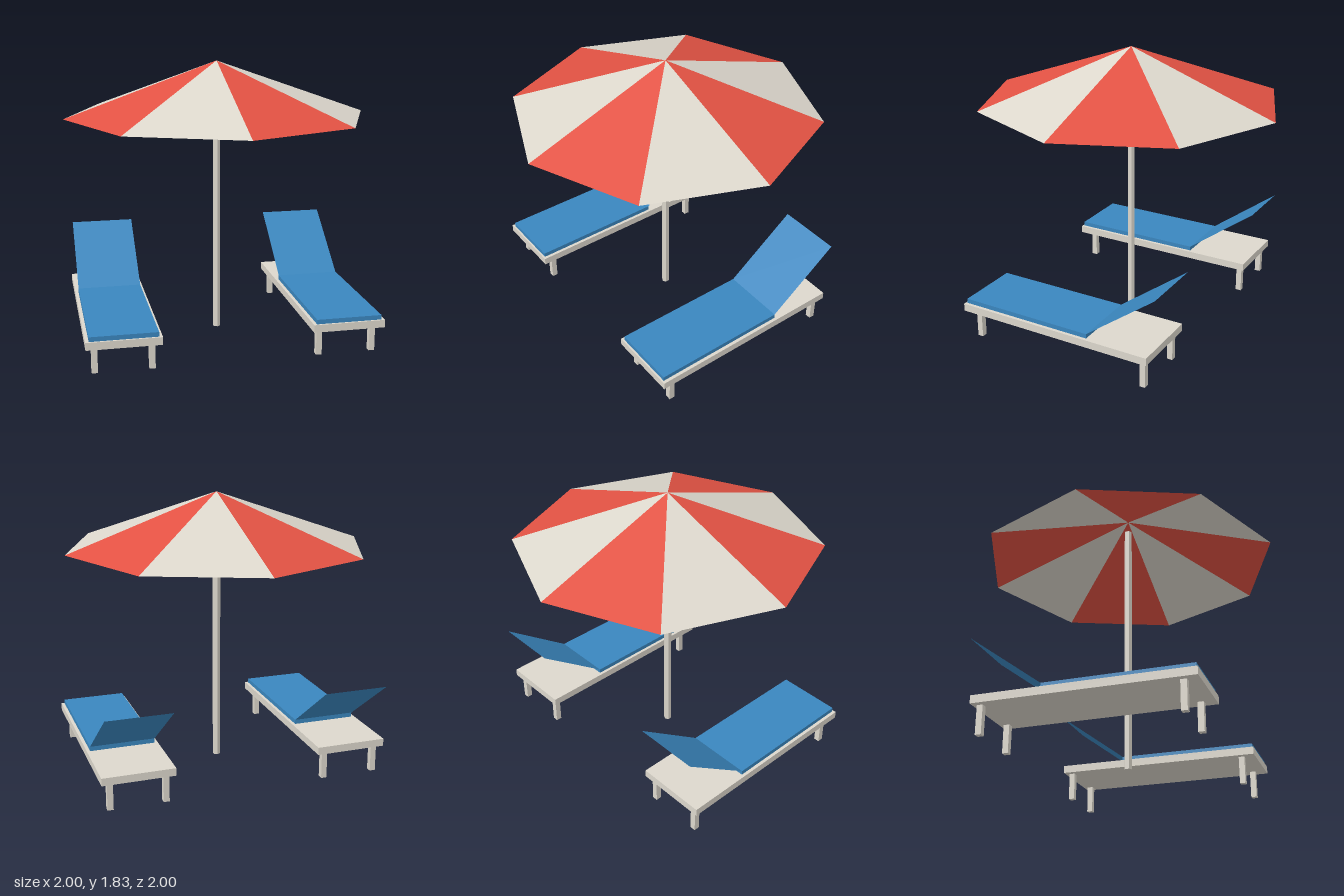
import * as THREE from 'three';

const material = (name, color, side = THREE.FrontSide) => {
  const m = new THREE.MeshStandardMaterial({ color, side, flatShading: true });
  m.name = name;
  return m;
};

export function createModel() {
  const red = material('red canvas', 0xe25243, THREE.DoubleSide);
  const cream = material('cream', 0xdcd7cc, THREE.DoubleSide);
  const blue = material('blue fabric', 0x3a86be, THREE.DoubleSide);

  const model = new THREE.Group();
  model.name = 'beachSet';

  const add = (parent, name, geometry, mat, x, y, z) => {
    const mesh = new THREE.Mesh(geometry, mat);
    mesh.name = name;
    mesh.position.set(x, y, z);
    parent.add(mesh);
    return mesh;
  };

  // Parasol: six-sided pole and eight open canopy panels
  const parasol = new THREE.Group();
  parasol.name = 'parasol';
  model.add(parasol);
  const poleHeight = 1.74;
  add(parasol, 'pole', new THREE.CylinderGeometry(0.026, 0.026, poleHeight, 6), cream, 0, poleHeight / 2, 0);

  const panels = 8, rimY = 1.47, apexY = 1.825;
  const rim = (i) => {
    const a = (i / panels) * Math.PI * 2;
    return new THREE.Vector3(Math.sin(a), rimY, Math.cos(a));
  };
  for (let i = 0; i < panels; i++) {
    const panel = new THREE.BufferGeometry().setFromPoints([
      new THREE.Vector3(0, apexY, 0), rim(i), rim(i + 1),
    ]);
    panel.computeVertexNormals();
    add(parasol, 'canopyPanel', panel, i % 2 ? cream : red, 0, 0, 0);
  }

  // Sun loungers, one on each side
  for (const side of [-1, 1]) {
    const lounger = new THREE.Group();
    lounger.name = side > 0 ? 'leftLounger' : 'rightLounger';
    lounger.position.x = side * 0.714;
    model.add(lounger);

    add(lounger, 'frame', new THREE.BoxGeometry(0.47, 0.05, 1.35), cream, 0, 0.205, 0.037);
    add(lounger, 'cushion', new THREE.BoxGeometry(0.427, 0.03, 0.91), blue, 0, 0.245, 0.245);

    // Backrest: a thin sheet rising from the rear edge of the cushion
    const rise = 0.35, run = 0.47;
    const back = add(lounger, 'backrest', new THREE.PlaneGeometry(0.427, Math.hypot(rise, run)), blue,
      0, 0.26 + rise / 2, -0.21 - run / 2);
    back.rotation.x = -Math.atan2(run, rise);

    for (const x of [-0.178, 0.178]) {
      for (const z of [0.622, -0.592]) {
        add(lounger, 'leg', new THREE.BoxGeometry(0.038, 0.18, 0.038), cream, x, 0.09, z);
      }
    }
  }
  return model;
}
